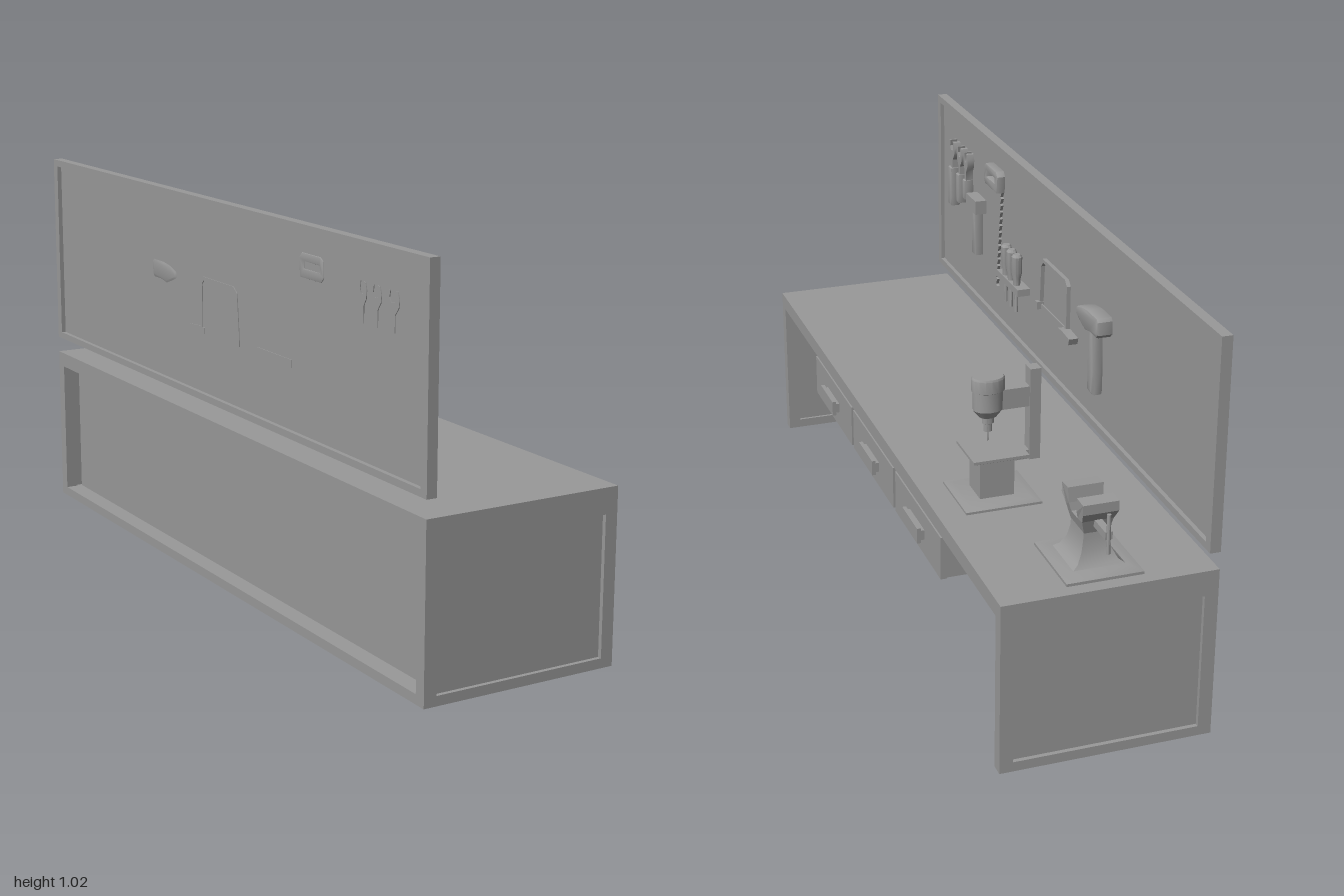
import * as THREE from 'three';
import { toCreasedNormals } from 'three/addons/utils/BufferGeometryUtils.js';

const mat = new THREE.MeshStandardMaterial({ color: 0x999999, side: THREE.DoubleSide });

function add(parent, name, geo) {
  const m = new THREE.Mesh(toCreasedNormals(geo, 0.6), mat);
  m.name = name;
  parent.add(m);
  return m;
}

function group(parent, name) {
  const g = new THREE.Group();
  g.name = name;
  parent.add(g);
  return g;
}

// Box given by its limits on each axis
function box(parent, name, x0, x1, y0, y1, z0, z1) {
  const m = add(parent, name, new THREE.BoxGeometry(x1 - x0, y1 - y0, z1 - z0));
  m.position.set((x0 + x1) / 2, (y0 + y1) / 2, (z0 + z1) / 2);
}

const poly = pts => new THREE.Shape(pts.map(p => new THREE.Vector2(p[0], p[1])));

// Outline in (z, y), as points or a shape, extruded along x between two limits
function plate(parent, name, outline, x0, x1, bevel = 0) {
  const shape = Array.isArray(outline) ? poly(outline) : outline;
  const geo = new THREE.ExtrudeGeometry(shape, {
    depth: x1 - x0 - 2 * bevel, bevelEnabled: bevel > 0, bevelSize: bevel,
    bevelThickness: bevel, bevelOffset: -bevel, bevelSegments: 2
  });
  geo.rotateY(-Math.PI / 2).translate(x1 - bevel, 0, 0);
  return add(parent, name, geo);
}

// Outline with a hole, both rectangles [a0, a1, b0, b1]
const rect = (a0, a1, b0, b1) => [[a0, b0], [a1, b0], [a1, b1], [a0, b1]];
function frameShape(outer, inner) {
  const s = poly(rect(...outer));
  s.holes.push(poly(rect(...inner)));
  return s;
}

// Rectangular sections [y, x0, x1, z0, z1] joined from bottom to top
function loft(parent, name, rows) {
  const pos = [], idx = [];
  for (const [y, x0, x1, z0, z1] of rows) pos.push(x0, y, z1, x1, y, z1, x1, y, z0, x0, y, z0);
  for (let r = 0; r < rows.length - 1; r++) {
    for (let i = 0; i < 4; i++) {
      const a = r * 4 + i, b = r * 4 + (i + 1) % 4;
      idx.push(a, b, b + 4, a, b + 4, a + 4);
    }
  }
  const t = (rows.length - 1) * 4;
  idx.push(0, 2, 1, 0, 3, 2, t, t + 1, t + 2, t, t + 2, t + 3);
  const geo = new THREE.BufferGeometry();
  geo.setAttribute('position', new THREE.Float32BufferAttribute(pos, 3));
  geo.setIndex(idx);
  add(parent, name, geo);
}

function rod(parent, name, r, len, x, y, z) {
  const m = add(parent, name, new THREE.CylinderGeometry(r, r, len, 12));
  m.position.set(x, y, z);
}

function buildBench(root) {
  const g = group(root, 'bench');
  box(g, 'worktop', -0.28, 0.252, 0.402, 0.443, -1, 1);
  // End walls with a recessed panel
  for (const s of [-1, 1]) {
    const f = add(g, 'endFrame', new THREE.ExtrudeGeometry(
      frameShape([-0.28, 0.252, 0, 0.402], [-0.246, 0.219, 0.025, 0.378]), { depth: 0.033, bevelEnabled: false }));
    f.position.z = s > 0 ? 0.967 : -1;
    box(g, 'endPanel', -0.246, 0.219, 0.025, 0.378, s * 0.982 - 0.007, s * 0.982 + 0.007);
  }
  // Back wall, set deep between the ends, with a rail along the floor
  box(g, 'backRail', -0.28, -0.224, 0, 0.025, -0.967, 0.967);
  box(g, 'backPanel', -0.232, -0.224, 0.025, 0.402, -0.967, 0.967);
  // Drawers
  box(g, 'drawerCase', -0.224, 0.249, 0.289, 0.402, -0.578, 0.582);
  for (const z of [0.397, 0.003, -0.393]) {
    box(g, 'drawerFront', 0.24, 0.256, 0.288, 0.402, z - 0.188, z + 0.188);
    box(g, 'handleStem', 0.255, 0.268, 0.332, 0.358, z - 0.06, z + 0.06);
    box(g, 'handleGrip', 0.266, 0.276, 0.325, 0.366, z - 0.062, z + 0.062);
  }
}

function buildBoard(root) {
  const g = group(root, 'toolBoard');
  plate(g, 'boardFrame', frameShape([-1, 1, 0.488, 1.023], [-0.975, 0.975, 0.506, 1.004]), -0.28, -0.253);
  box(g, 'boardPanel', -0.268, -0.264, 0.506, 1.004, -0.975, 0.975);

  // Wrenches with open jaws
  const claw = [[0.009, 0.83], [0.009, 0.87], [0.024, 0.888], [0.027, 0.908], [0.02, 0.925], [0.01, 0.926], [0.014, 0.908],
    [0.008, 0.898]];
  [[0.84, 0.728], [0.77, 0.758], [0.712, 0.787]].forEach(([z, y], i) => {
    const k = 1 - i * 0.15;
    const outline = claw.concat(claw.map(p => [-p[0], p[1]]).reverse());
    plate(g, 'wrenchClaw', outline.map(p => [z + p[0] * k, p[1]]), -0.27, -0.243);
    const grip = [[-0.013, y], [0.013, y], [0.016, y + 0.03], [0.014, 0.845], [-0.014, 0.845], [-0.016, y + 0.03]];
    plate(g, 'wrenchGrip', grip.map(p => [z + p[0] * k, p[1]]), -0.266, -0.236, 0.004);
  });

  // Small hammer
  plate(g, 'hammerHandle', [[0.61, 0.645], [0.64, 0.645], [0.634, 0.785], [0.616, 0.785]], -0.266, -0.238, 0.004);
  plate(g, 'hammerHead', rect(0.583, 0.667, 0.78, 0.82), -0.266, -0.23);

  // Hand saw with a toothed edge
  const saw = [[0.535, 0.9], [0.51, 0.6], [0.465, 0.6]];
  for (let i = 0; i < 14; i++) {
    const z = 0.465 - i * 0.0025, y = 0.6 + i * 0.021;
    saw.push([z + 0.009, y + 0.004], [z, y + 0.021]);
  }
  plate(g, 'sawBlade', saw, -0.266, -0.256);
  const grip = poly([[0.43, 0.892], [0.53, 0.892], [0.542, 0.905], [0.538, 0.945], [0.525, 0.953], [0.44, 0.953], [0.426, 0.94]]);
  grip.holes.push(poly(rect(0.45, 0.52, 0.915, 0.932)));
  plate(g, 'sawHandle', grip, -0.27, -0.24, 0.003);

  // Screwdrivers in a rack
  box(g, 'screwdriverRack', -0.27, -0.228, 0.662, 0.682, 0.218, 0.39);
  for (const z of [0.345, 0.302, 0.259]) {
    const h = add(g, 'screwdriverHandle', new THREE.LatheGeometry([[0, 0.682], [0.01, 0.682], [0.011, 0.7],
      [0.015, 0.72], [0.015, 0.765], [0.01, 0.772], [0, 0.772]].map(p => new THREE.Vector2(...p)), 12));
    h.position.set(-0.24, 0, z);
    rod(g, 'screwdriverShaft', 0.005, 0.08, -0.24, 0.642, z);
  }

  // Hacksaw
  plate(g, 'hacksawFrame', [[0.125, 0.665], [0.125, 0.69], [0.115, 0.8], [0.095, 0.815], [-0.07, 0.815], [-0.085, 0.8],
    [-0.085, 0.67], [-0.075, 0.67], [-0.075, 0.795], [-0.067, 0.805], [0.09, 0.805], [0.105, 0.79], [0.112, 0.665]], -0.27, -0.253);
  box(g, 'hacksawBlade', -0.26, -0.256, 0.667, 0.68, -0.08, 0.12);
  plate(g, 'hacksawHandle', [[-0.065, 0.664], [-0.14, 0.66], [-0.146, 0.678], [-0.09, 0.682], [-0.065, 0.68]], -0.27, -0.238);
  box(g, 'hacksawPin', -0.266, -0.244, 0.665, 0.686, 0.108, 0.125);

  // Large hammer
  plate(g, 'largeHammerHandle', [[-0.29, 0.6], [-0.325, 0.596], [-0.326, 0.66], [-0.318, 0.78], [-0.293, 0.78], [-0.287, 0.66]],
    -0.262, -0.23, 0.008);
  plate(g, 'largeHammerHead', [[-0.222, 0.785], [-0.225, 0.805], [-0.26, 0.816], [-0.3, 0.822], [-0.362, 0.822], [-0.37, 0.813],
    [-0.37, 0.778], [-0.36, 0.768], [-0.32, 0.768], [-0.285, 0.762], [-0.245, 0.775]], -0.27, -0.222, 0.008);
}

function buildDrillPress(root) {
  const g = group(root, 'drillPress');
  const z = -0.475;
  loft(g, 'drillBase', [[0.443, -0.01, 0.185, z - 0.09, z + 0.09], [0.449, -0.01, 0.185, z - 0.09, z + 0.09],
    [0.454, 0.01, 0.165, z - 0.07, z + 0.07]]);
  box(g, 'drillPedestal', 0.045, 0.133, 0.45, 0.56, z - 0.04, z + 0.04);
  loft(g, 'drillTable', [[0.555, 0.03, 0.145, z - 0.055, z + 0.055], [0.561, 0.016, 0.158, z - 0.066, z + 0.066],
    [0.568, 0.016, 0.158, z - 0.066, z + 0.066]]);
  box(g, 'drillColumn', -0.03, -0.002, 0.53, 0.77, z - 0.017, z + 0.017);
  box(g, 'lowerArm', -0.005, 0.05, 0.531, 0.555, z - 0.014, z + 0.014);
  box(g, 'upperArm', -0.005, 0.09, 0.672, 0.724, z - 0.014, z + 0.014);
  // Motor head, chuck and bit in one turned profile
  const head = add(g, 'drillHead', new THREE.LatheGeometry([[0, 0.588], [0.002, 0.592], [0.002, 0.616], [0.011, 0.616],
    [0.011, 0.636], [0.015, 0.638], [0.015, 0.653], [0.022, 0.655], [0.038, 0.675], [0.038, 0.723], [0.042, 0.725],
    [0.042, 0.756], [0.039, 0.761], [0, 0.761]].map(p => new THREE.Vector2(...p)), 16));
  head.scale.z = 0.78;
  head.position.set(0.1, 0, z);
}

function buildVise(root) {
  const g = group(root, 'vise');
  const x = -0.013, z = -0.86;
  const row = (y, w, d) => [y, x - w, x + w, z - d, z + d];
  loft(g, 'viseBase', [row(0.443, 0.095, 0.105), row(0.45, 0.095, 0.105), row(0.457, 0.07, 0.075)]);
  loft(g, 'viseStand', [row(0.453, 0.07, 0.07), row(0.466, 0.05, 0.057), row(0.49, 0.037, 0.046),
    row(0.52, 0.031, 0.04), row(0.55, 0.03, 0.038)]);
  // Pair of jaws around a U-shaped gap, narrowing towards the stand
  const half = [[0.02, 0.565], [0.024, 0.585], [0.028, 0.622], [0.066, 0.62], [0.066, 0.595], [0.05, 0.57], [0.04, 0.535]];
  const outline = half.concat(half.map(p => [-p[0], p[1]]).reverse()).map(p => [z + p[0], p[1]]);
  const jaws = plate(g, 'viseJaws', outline, x - 0.044, x + 0.044);
  const p = jaws.geometry.attributes.position;
  for (let i = 0; i < p.count; i++) {
    const k = THREE.MathUtils.clamp((p.getY(i) - 0.535) / 0.055, 0, 1);
    p.setX(i, x + (p.getX(i) - x) * (0.68 + 0.32 * k));
  }
  jaws.geometry.computeVertexNormals();
  box(g, 'viseScrew', x - 0.009, x + 0.009, 0.553, 0.572, z - 0.115, z - 0.04);
  rod(g, 'viseLever', 0.005, 0.1, x, 0.566, z - 0.113);
}

export function createModel() {
  const root = new THREE.Group();
  root.name = 'workbench';
  buildBench(root);
  buildBoard(root);
  buildDrillPress(root);
  buildVise(root);
  // Centre the whole on x
  root.children.forEach(c => { c.position.x = 0.002; });
  return root;
}
